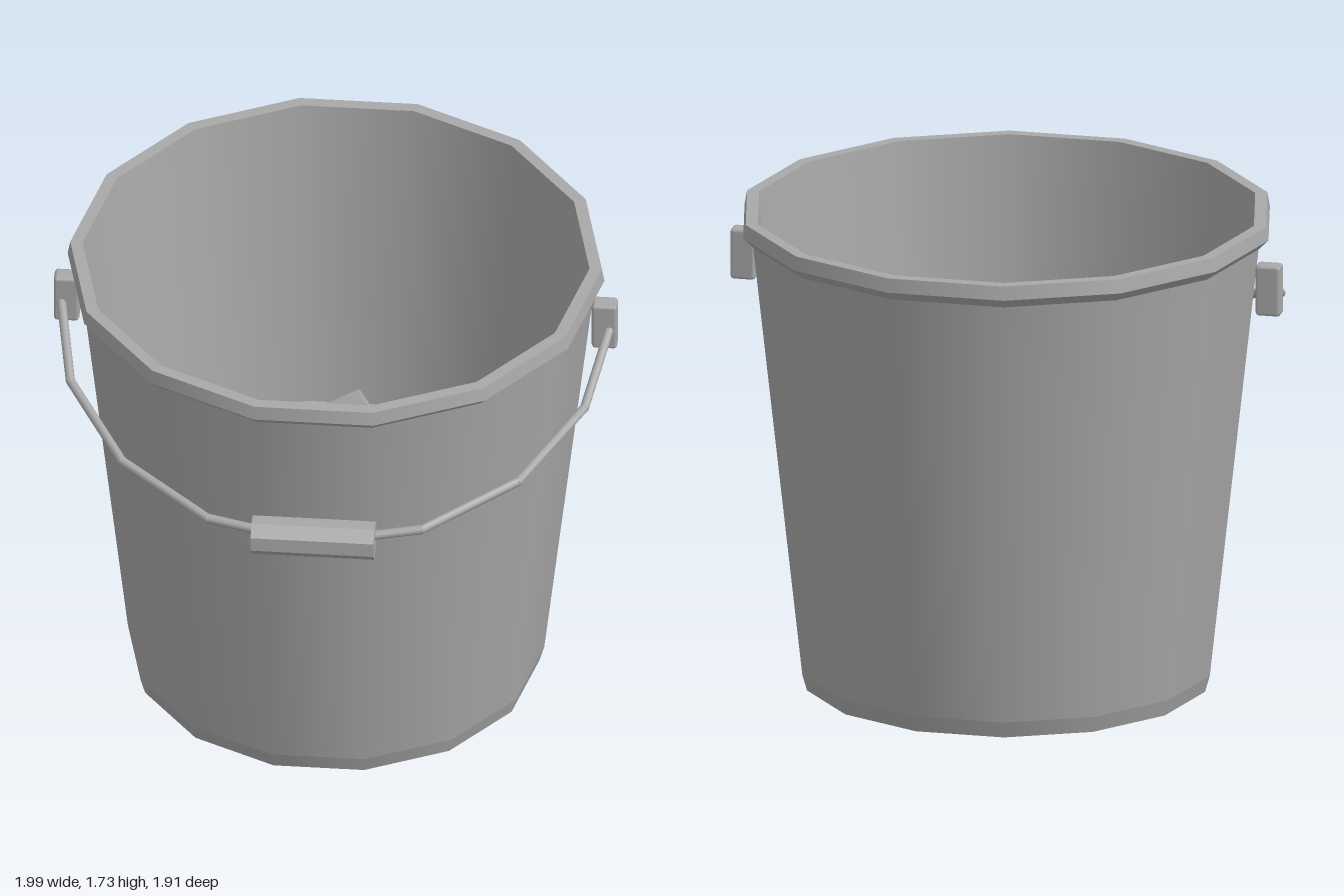
import * as THREE from 'three';
import { RoundedBoxGeometry } from 'three/addons/geometries/RoundedBoxGeometry.js';

const SIDES = 14;
const CENTRE_Z = -0.03;
const WATER_Y = 0.53;

const grey = new THREE.MeshStandardMaterial({ color: 0xa8a8a8 });
grey.name = 'plain grey';

function add(parent, name, geometry, x = 0, y = 0, z = 0) {
  const mesh = new THREE.Mesh(geometry, grey);
  mesh.name = name;
  mesh.position.set(x, y, z);
  parent.add(mesh);
  return mesh;
}

// One ring of the bucket: each band has its own normals, so edges between bands stay sharp
function band(parent, name, profile) {
  const points = profile.map(([r, y]) => new THREE.Vector2(r, y));
  add(parent, name, new THREE.LatheGeometry(points, SIDES, Math.PI / 2));
}

// Straight rod between two points
function rod(parent, name, a, b, radius) {
  const dir = b.clone().sub(a);
  const length = dir.length();
  const geometry = new THREE.CylinderGeometry(radius, radius, length + radius * 0.4, 8);
  const mesh = add(parent, name, geometry);
  mesh.position.copy(a).lerp(b, 0.5);
  mesh.quaternion.setFromUnitVectors(new THREE.Vector3(0, 1, 0), dir.normalize());
}

function flat(geometry) {
  const g = geometry.toNonIndexed();
  g.computeVertexNormals();
  return g;
}

export function createModel() {
  const model = new THREE.Group();
  model.name = 'bucket';

  // Bucket shell, from the foot up over the rim and down inside
  const shell = new THREE.Group();
  shell.name = 'shell';
  shell.position.z = CENTRE_Z;
  model.add(shell);
  band(shell, 'foot', [[0.72, 0], [0.737, 0.06]]);
  band(shell, 'outerWall', [[0.737, 0.06], [0.914, 1.645]]);
  band(shell, 'rimUnderside', [[0.914, 1.645], [0.95, 1.68]]);
  band(shell, 'rimEdge', [[0.95, 1.68], [0.941, 1.73]]);
  band(shell, 'rimTop', [[0.941, 1.73], [0.897, 1.73]]);
  band(shell, 'innerWall', [[0.897, 1.73], [0.765, WATER_Y]]);
  add(shell, 'base', new THREE.CircleGeometry(0.72, SIDES).rotateX(Math.PI / 2));
  add(shell, 'water', new THREE.CircleGeometry(0.766, SIDES).rotateX(-Math.PI / 2), 0, WATER_Y, 0);

  // Sponge floating at a tilt
  const thickness = 0.2;
  const sponge = new THREE.Group();
  sponge.name = 'sponge';
  sponge.position.set(-0.19, 0.66, -0.22);
  sponge.rotation.set(-0.1, THREE.MathUtils.degToRad(25.5), 0.27, 'YZX');
  model.add(sponge);
  add(sponge, 'spongeBlock', new RoundedBoxGeometry(0.74, thickness, 0.5, 2, 0.015), 0, -thickness / 2, 0);

  // Ears and wire handle, mirrored
  const handle = new THREE.Group();
  handle.name = 'handle';
  model.add(handle);
  const path = [
    [0.975, 1.5, -0.03], [0.91, 1.38, 0.32], [0.7, 1.27, 0.63],
    [0.38, 1.195, 0.84], [0.19, 1.18, 0.875],
  ];
  for (const side of [1, -1]) {
    add(handle, 'ear', new RoundedBoxGeometry(0.09, 0.185, 0.068, 1, 0.012), side * 0.952, 1.5, -0.026);
    const points = path.map(([x, y, z]) => new THREE.Vector3(side * x, y, z));
    for (let i = 0; i + 1 < points.length; i++) {
      rod(handle, 'wire', points[i], points[i + 1], 0.017);
      add(handle, 'wireJoint', new THREE.SphereGeometry(0.017, 8, 6), ...points[i].toArray());
    }
  }

  // Eight-sided grip
  const grip = flat(new THREE.CylinderGeometry(0.069, 0.069, 0.435, 8));
  grip.rotateZ(Math.PI / 2).rotateX(0.35);
  add(handle, 'grip', grip, 0, 1.17, 0.888);

  return model;
}
